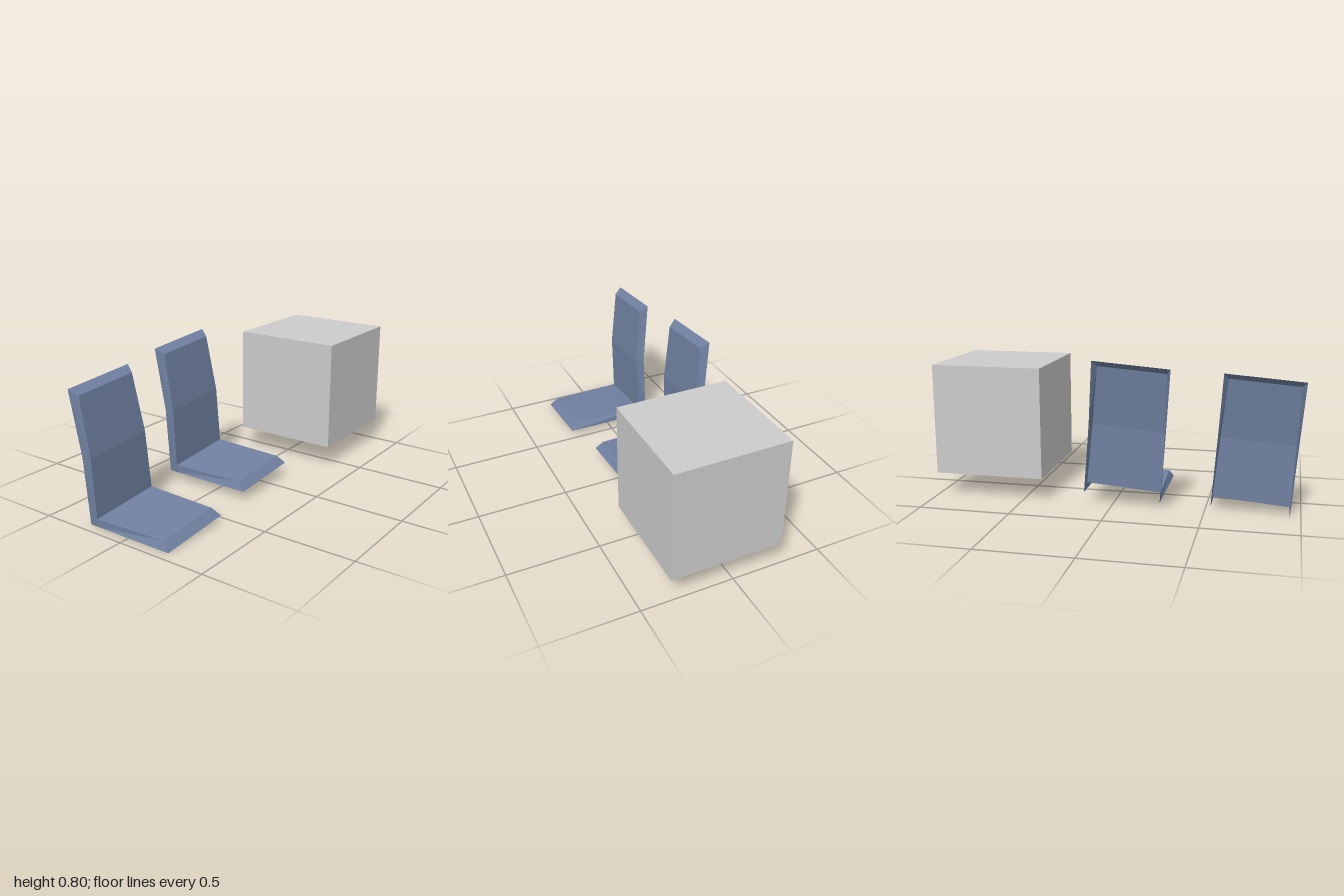
import * as THREE from 'three';

const HALF = 0.206; // half the width of a seat

// Thin open shell: inset panels with sloping rims around them
function seatGeometry() {
  // rim [y, z], panel [y, z], side inset of the panel
  const seat = [
    { rim: [0, 0.255], panel: [0.042, 0.213], inset: 0.022 },
    { rim: [0, -0.207], panel: [0.042, -0.207], inset: 0.003 },
  ];
  const back = [
    { rim: [0.042, -0.252], panel: [0.042, -0.207], inset: 0.003 },
    { rim: [0.37, -0.252], panel: [0.37, -0.207], inset: 0.011 },
    { rim: [0.72, -0.292], panel: [0.688, -0.247], inset: 0.022 },
  ];
  const positions = [];
  const quad = (a, b, c, d) => positions.push(...a, ...b, ...c, ...a, ...c, ...d);
  const rim = (s, side) => [side * HALF, ...s.rim];
  const panel = (s, side) => [side * (HALF - s.inset), ...s.panel];
  const sideQuad = (side, a, b, c, d) => (side > 0 ? quad(a, b, c, d) : quad(d, c, b, a));

  for (const part of [seat, back]) {
    for (let i = 0; i + 1 < part.length; i++) {
      const p = part[i], q = part[i + 1];
      quad(panel(p, -1), panel(p, 1), panel(q, 1), panel(q, -1));
      for (const s of [-1, 1]) sideQuad(s, rim(p, s), rim(q, s), panel(q, s), panel(p, s));
    }
  }

  // flat squares closing the sides of the bend
  for (const s of [-1, 1]) {
    sideQuad(s, rim(seat[1], s), [s * HALF, 0, -0.252], rim(back[0], s), panel(back[0], s));
  }

  // front lip and top lip
  const front = seat[0], top = back[2];
  quad(rim(front, -1), rim(front, 1), panel(front, 1), panel(front, -1));
  quad(panel(top, -1), panel(top, 1), rim(top, 1), rim(top, -1));

  const geometry = new THREE.BufferGeometry();
  geometry.setAttribute('position', new THREE.Float32BufferAttribute(positions, 3));
  geometry.computeVertexNormals();
  return geometry;
}

export function createModel() {
  const group = new THREE.Group();

  // two tilted seats, one behind and above the other
  const blue = new THREE.MeshStandardMaterial({ color: 0x6f80a0, flatShading: true, side: THREE.DoubleSide });
  const geometry = seatGeometry();
  const seats = [['rightSeat', -0.738, 0.016, 0], ['middleSeat', -0.064, 0.066, -0.05]];
  for (const [name, x, y, z] of seats) {
    const seat = new THREE.Mesh(geometry, blue);
    seat.name = name;
    seat.position.set(x, y, z);
    seat.rotation.z = 0.077;
    group.add(seat);
  }

  // plain cube
  const cube = new THREE.Mesh(
    new THREE.BoxGeometry(0.61, 0.61, 0.61),
    new THREE.MeshStandardMaterial({ color: 0xcccccc })
  );
  cube.name = 'cube';
  cube.position.set(0.695, 0.432, 0.037);
  group.add(cube);

  return group;
}
